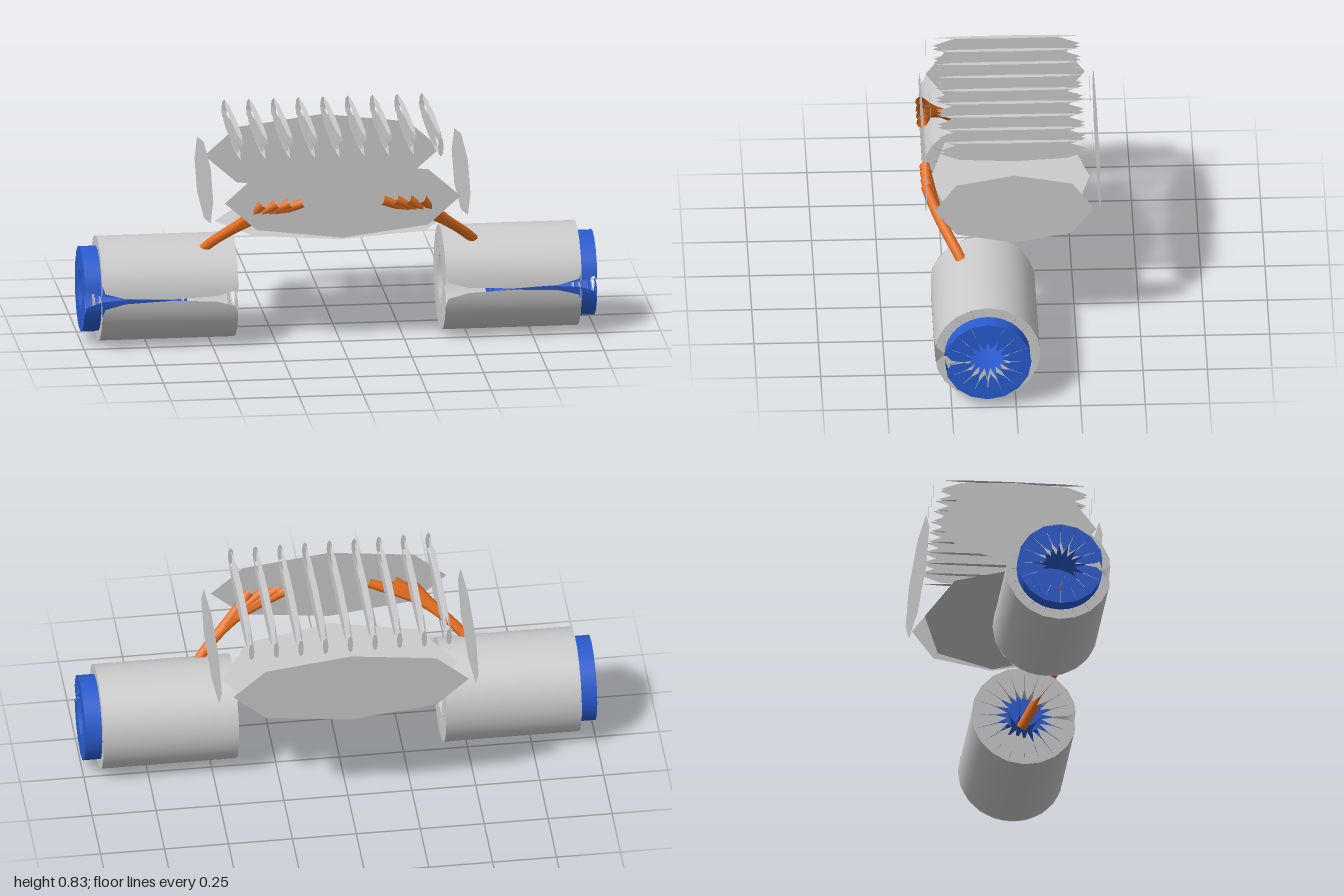
import * as THREE from 'three';

const mat = (color) => new THREE.MeshStandardMaterial({ color, side: THREE.DoubleSide });
const grey = mat(0xcccccc), blue = mat(0x2a5cd0), orange = mat(0xe8701e);

function add(parent, name, geometry, material) {
  const mesh = new THREE.Mesh(geometry, material);
  mesh.name = name;
  parent.add(mesh);
  return mesh;
}

// Flat eight-sided panel: a rounded-off rectangle, smaller than the box face it lies on
function panel(a, b) {
  const m = 0.9167, k = 0.6667;
  const pts = [[m, 0], [k, k], [0, m], [-k, k], [-m, 0], [-k, -k], [0, -m], [k, -k]];
  return new THREE.ShapeGeometry(new THREE.Shape(pts.map(([x, y]) => new THREE.Vector2(x * a, y * b))));
}

// Separate panels on the faces of a box of half sizes hx, hy, hz
function panelBox(name, hx, hy, hz, withTop) {
  const group = new THREE.Group();
  group.name = name;
  for (const s of [1, -1]) {
    const end = add(group, s > 0 ? 'frontPanel' : 'backPanel', panel(hx, hy), grey);
    end.position.z = s * hz;
    end.rotation.y = s > 0 ? 0 : Math.PI;
    const side = add(group, s > 0 ? 'leftPanel' : 'rightPanel', panel(hz, hy), grey);
    side.position.x = s * hx;
    side.rotation.y = s * Math.PI / 2;
    if (s > 0 && !withTop) continue;
    const lid = add(group, s > 0 ? 'topPanel' : 'bottomPanel', panel(hx, hz), grey);
    lid.position.y = s * hy;
    lid.rotation.x = -s * Math.PI / 2;
  }
  return group;
}

// Tube wall along x, split along a seam at +z whose end corners are rounded back
function drumWall(r, half, sides) {
  const pos = [], index = [], n = sides * 2;
  const step = 2 * Math.PI / sides;
  const rr = r * Math.cos(step / 2);
  for (let j = 0; j <= n; j++) {
    const seam = j === 0 ? 1 : j === n ? -1 : 0;
    const beside = j === 1 || j === n - 1;
    for (const row of [-1, 0, 1]) {
      const a = j * step / 2 + seam * step * (row ? 0.166 : 0.04);
      const reach = row * half * (seam ? 0.667 : beside ? 0.96 : 1);
      pos.push(reach, rr * Math.sin(a), rr * Math.cos(a));
    }
    if (j === n) break;
    for (const i of [0, 1]) {
      const a = j * 3 + i, b = a + 3;
      index.push(a, a + 1, b, b, a + 1, b + 1);
    }
  }
  const g = new THREE.BufferGeometry();
  g.setAttribute('position', new THREE.Float32BufferAttribute(pos, 3));
  g.setIndex(index);
  g.computeVertexNormals();
  return g;
}

// End cap of pointed teeth leaving a star-shaped hole
function drumCap(r, sides) {
  const step = 2 * Math.PI / sides, shapes = [];
  for (let i = 0; i < sides; i++) {
    const a = i * step, b = a + step;
    const at = (rad, ang) => new THREE.Vector2(-Math.cos(ang) * rad * r, Math.sin(ang) * rad * r);
    const pts = [];
    // the two teeth beside the seam lose their outer corner
    if (i === 0) pts.push(at(0.84, step * 0.17), at(0.97, step / 2));
    else pts.push(at(1, a));
    if (i === sides - 1) pts.push(at(0.97, b - step / 2), at(0.84, b - step * 0.17));
    else pts.push(at(1, b));
    pts.push(at(0.54, b - step * 0.038), at(0.33, a + step / 2), at(0.54, a + step * 0.038));
    shapes.push(new THREE.Shape(pts));
  }
  return new THREE.ShapeGeometry(shapes).rotateY(Math.PI / 2);
}

function drum(name, r, half, sides, material) {
  const group = new THREE.Group();
  group.name = name;
  add(group, 'wall', drumWall(r, half, sides), material);
  for (const s of [1, -1]) add(group, 'endCap', drumCap(r, sides), material).position.x = s * half;
  return group;
}

export function createModel() {
  const model = new THREE.Group();

  // Open-topped central body
  const body = panelBox('body', 0.502, 0.167, 0.337, false);
  body.position.set(0, 0.592, -0.01);
  model.add(body);

  // Row of thin fins above the body
  for (let i = 0; i < 9; i++) {
    const fin = panelBox('fin', 0.012, 0.0425, 0.312, true);
    fin.position.set((i - 4) * 0.0965, 0.785, -0.01);
    model.add(fin);
  }

  for (const s of [1, -1]) {
    // Drums with their inner cores
    const shell = drum('drum', 0.206, 0.265, 20, grey);
    shell.position.set(s * 0.67, 0.205, 0.11);
    const core = drum('core', 0.169, 0.2, 16, blue);
    core.position.set(s * 0.8, 0.205, 0.11);
    model.add(shell, core);

    // Pipes running together from each drum, then spreading on the front of the body
    for (const end of [0.155, 0.205, 0.255, 0.31]) {
      const curve = new THREE.CatmullRomCurve3([
        [0.61, 0.25, 0.118], [0.52, 0.385, 0.2], [0.345 + end * 0.15, 0.5, 0.282], [end, 0.586, 0.327],
      ].map(([x, y, z]) => new THREE.Vector3(s * x, y, z)));
      add(model, 'pipe', new THREE.TubeGeometry(curve, 20, 0.02, 8), orange);
    }
  }
  return model;
}
